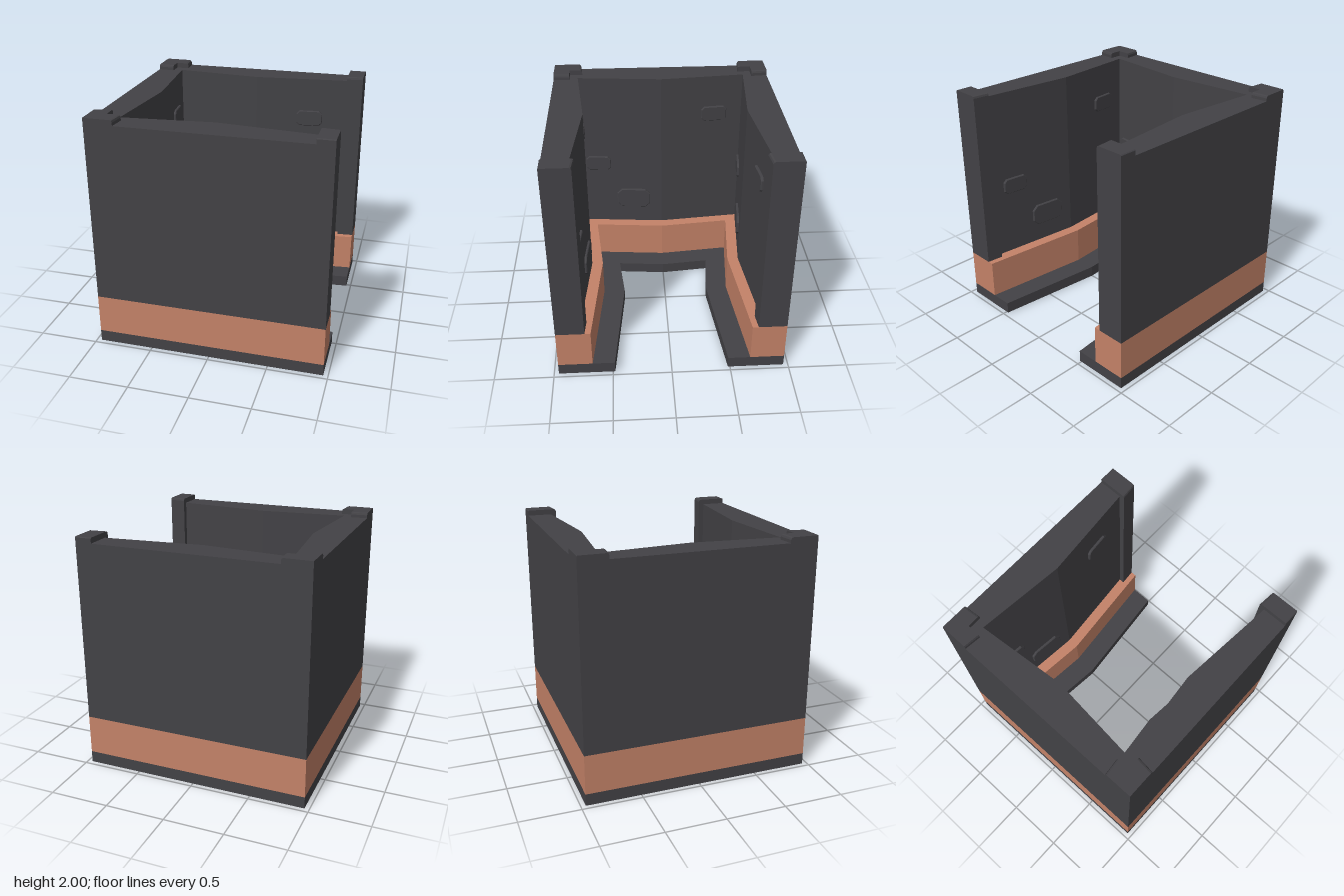
import * as THREE from 'three';

const SLOPE = 0.094; // inner wall faces lean outward away from their middle
const HALF = 0.96;

export function createModel() {
  const model = new THREE.Group();
  model.name = 'threeSidedEnclosure';
  const charcoal = new THREE.MeshStandardMaterial({ color: 0x434246 });
  charcoal.name = 'charcoal';
  const terracotta = new THREE.MeshStandardMaterial({ color: 0xc48268 });
  terracotta.name = 'terracotta';

  const add = (parent, name, geometry, material) => {
    const mesh = new THREE.Mesh(geometry, material);
    mesh.name = name;
    parent.add(mesh);
    return mesh;
  };
  const shapeOf = (pts) => new THREE.Shape(pts.map(([x, y]) => new THREE.Vector2(x, y)));

  // U-shaped layer, open towards +x, with bent inner faces
  const layer = (name, y0, y1, mid, corner, end, material) => {
    const shape = shapeOf([
      [HALF, -HALF], [HALF, -end], [0, -mid], [-corner, -corner], [-mid, 0],
      [-corner, corner], [0, mid], [HALF, end], [HALF, HALF], [-HALF, HALF], [-HALF, -HALF],
    ]);
    const geometry = new THREE.ExtrudeGeometry(shape, { depth: y1 - y0, bevelEnabled: false });
    geometry.rotateX(-Math.PI / 2).translate(0, y0, 0);
    add(model, name, geometry, material);
  };
  layer('basePlate', 0, 0.1, 0.388, 0.43, 0.482, charcoal);
  layer('lowerBand', 0.1, 0.435, 0.58, 0.64, 0.67, terracotta);
  layer('upperWall', 0.435, 1.955, 0.678, 0.747, 0.768, charcoal);

  // Post on the +z side between two x positions, with a softened inner top edge
  const postGeometry = (x0, x1, bottom) => {
    const shape = shapeOf([
      [HALF, bottom], [HALF, 1.993], [HALF - 0.007, 2], [0.737, 2],
      [0.724, 1.995], [0.718, 1.98], [0.718, bottom],
    ].map(([z, y]) => [-z, y]));
    const geometry = new THREE.ExtrudeGeometry(shape, { depth: x1 - x0, bevelEnabled: false });
    geometry.rotateY(Math.PI / 2).translate(x0, 0, 0);
    const p = geometry.attributes.position;
    for (let i = 0; i < p.count; i++) {
      // skew the inner end to follow the wall slope
      if (p.getZ(i) < 0.8) p.setZ(i, p.getZ(i) + SLOPE * (Math.abs(p.getX(i)) - 0.93));
    }
    geometry.computeVertexNormals();
    return geometry;
  };

  // Raised panel with clipped corners and a small bevel
  const panelGeometry = (w, h, cut) => {
    const b = 0.006, x = w / 2 - b, y = h / 2 - b;
    const shape = shapeOf([
      [x, -y + cut], [x, y - cut], [x - cut, y], [-x + cut, y],
      [-x, y - cut], [-x, -y + cut], [-x + cut, -y], [x - cut, -y],
    ]);
    return new THREE.ExtrudeGeometry(shape, {
      depth: 0.015, bevelEnabled: true, bevelSize: b, bevelThickness: b, bevelSegments: 1,
    });
  };

  // [position along wall, height, width, panel height, corner cut]
  const panels = [
    [-0.49, 1.59, 0.235, 0.14, 0.025],
    [0.27, 0.705, 0.32, 0.195, 0.042],
    [0.598, 1.09, 0.235, 0.14, 0.025],
  ];

  // The three walls share one layout, turned about the vertical axis
  [['front', 0], ['left', -Math.PI / 2], ['back', Math.PI]].forEach(([side, turn]) => {
    const wall = new THREE.Group();
    wall.name = side + 'WallDetails';
    wall.rotation.y = turn;
    model.add(wall);

    panels.forEach(([s, y, w, h, cut], i) => {
      const panel = add(wall, 'raisedPanel' + (i + 1), panelGeometry(w, h, cut), charcoal);
      panel.position.set(s, y, 0.678 + SLOPE * Math.abs(s));
      panel.rotation.y = Math.PI - Math.sign(s) * Math.atan(SLOPE);
    });

    // Full posts at the open side, short caps at closed corners
    [-1, 1].forEach((end) => {
      const open = (side === 'front' && end > 0) || (side === 'back' && end < 0);
      const [x0, x1] = end > 0 ? [0.82, HALF] : [-HALF, -0.82];
      add(wall, open ? 'endPost' : 'cornerCap', postGeometry(x0, x1, open ? 0.435 : 1.9), charcoal);
    });
  });

  return model;
}
